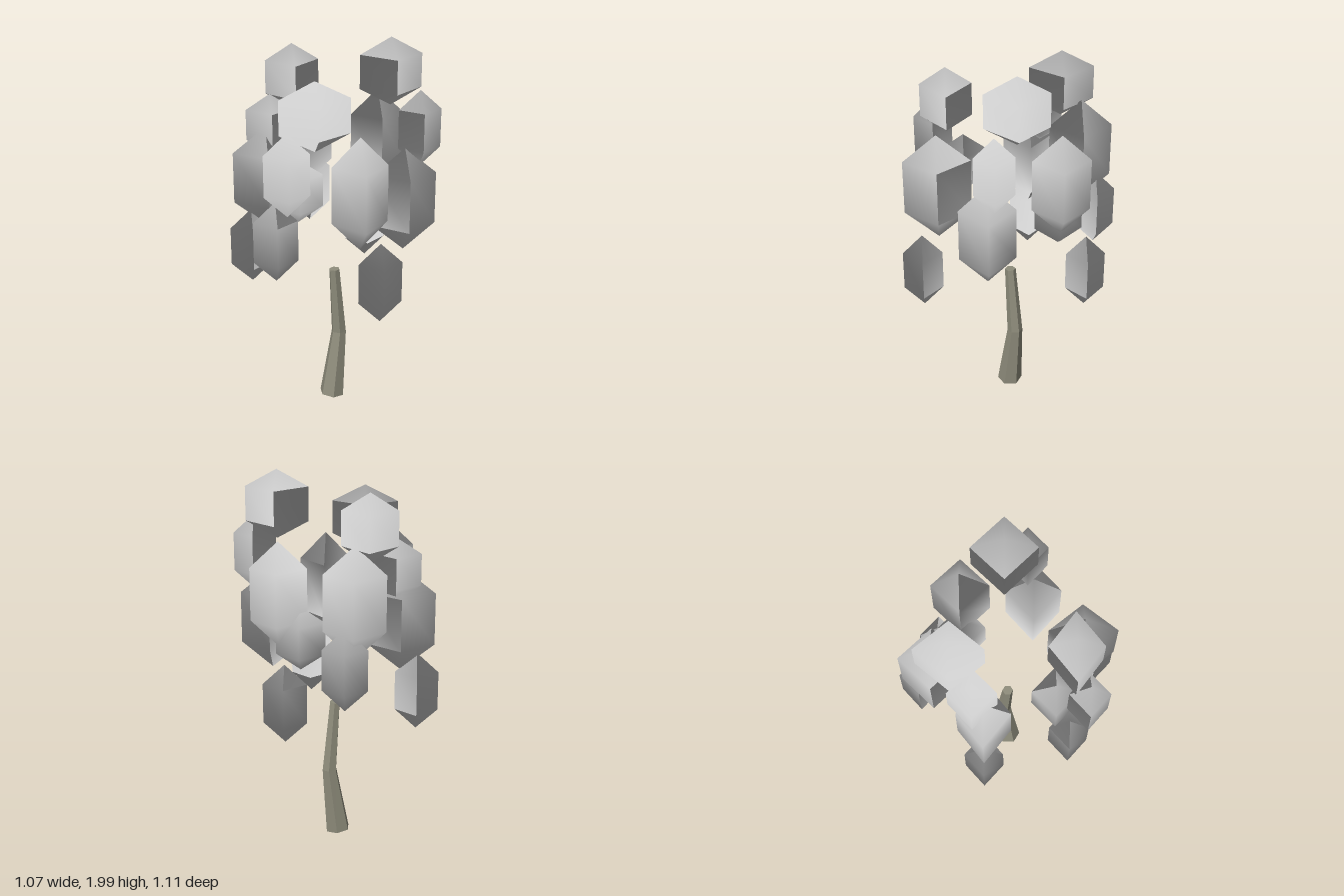
import * as THREE from 'three';

// Leaf clumps: centre x, z, half-width x, half-width z, bottom y, top y
const CLUMPS = [
  // left side
  [0.295, -0.02, 0.16, 0.16, 1.65, 2.0],
  [0.425, 0.095, 0.11, 0.1, 1.35, 1.75],
  [0.345, 0.127, 0.165, 0.143, 0.91, 1.46],
  // left back
  [0.272, -0.24, 0.143, 0.145, 1.14, 1.68],
  [0.165, -0.24, 0.125, 0.12, 1.02, 1.35],
  [0.235, -0.377, 0.11, 0.1, 0.68, 1.09],
  // front
  [0.07, 0.368, 0.14, 0.172, 1.02, 1.6],
  [0.16, 0.455, 0.11, 0.102, 0.66, 1.08],
  // right front
  [-0.143, 0.313, 0.175, 0.132, 1.52, 1.87],
  [-0.29, 0.385, 0.113, 0.1, 1.22, 1.64],
  [-0.34, 0.302, 0.112, 0.1, 0.85, 1.27],
  [-0.22, 0.23, 0.127, 0.118, 1.13, 1.46],
  // right back
  [-0.18, -0.275, 0.14, 0.165, 1.58, 1.93],
  [-0.11, -0.373, 0.156, 0.16, 1.12, 1.69],
  [-0.067, -0.455, 0.113, 0.102, 0.88, 1.3],
  [-0.34, -0.125, 0.172, 0.135, 0.99, 1.53],
  [-0.31, -0.175, 0.125, 0.12, 1.37, 1.69],
  [-0.425, -0.13, 0.112, 0.1, 0.67, 1.08],
];

// Four-sided low-poly clump whose normals fan out from the crown's middle
function clumpGeometry([x, z, hx, hz, y0, y1]) {
  const ring = Math.sin(Math.PI / 3);
  const geo = new THREE.SphereGeometry(1, 4, 3);
  geo.scale(hx / ring, (y1 - y0) / 2, hz / ring);
  geo.translate(x, (y0 + y1) / 2, z);
  const p = geo.attributes.position, n = geo.attributes.normal;
  const v = new THREE.Vector3(), middle = new THREE.Vector3(0, 1.3, 0);
  for (let i = 0; i < p.count; i++) {
    v.fromBufferAttribute(p, i).sub(middle).normalize();
    n.setXYZ(i, v.x, v.y, v.z);
  }
  return geo;
}

// Trunk: a tapered cylinder bent through three ring centres
function trunkGeometry() {
  const rings = [ // x, y, z, radius, tilt
    [-0.012, 0.012, -0.004, 0.067, -0.12],
    [0.032, 0.38, -0.03, 0.041, 0],
    [0.003, 0.76, -0.006, 0.029, 0.05],
  ];
  const geo = new THREE.CylinderGeometry(1, 1, 2, 6, 2);
  const p = geo.attributes.position;
  for (let i = 0; i < p.count; i++) {
    const [x, y, z, r, tilt] = rings[Math.round(p.getY(i)) + 1];
    const dx = p.getX(i) * r, dz = p.getZ(i) * r;
    p.setXYZ(i, x + dx, y + dx * tilt, z + dz);
  }
  geo.computeVertexNormals();
  return geo;
}

export function createModel() {
  const model = new THREE.Group();
  model.name = 'tree';

  const trunk = new THREE.Mesh(
    trunkGeometry(),
    new THREE.MeshStandardMaterial({ color: 0x8f8d7c, flatShading: true })
  );
  trunk.name = 'trunk';
  model.add(trunk);

  const crown = new THREE.Group();
  crown.name = 'crown';
  const leaf = new THREE.MeshStandardMaterial({ color: 0xcccccc });
  for (const c of CLUMPS) {
    const clump = new THREE.Mesh(clumpGeometry(c), leaf);
    clump.name = 'leafClump';
    crown.add(clump);
  }
  model.add(crown);
  return model;
}
